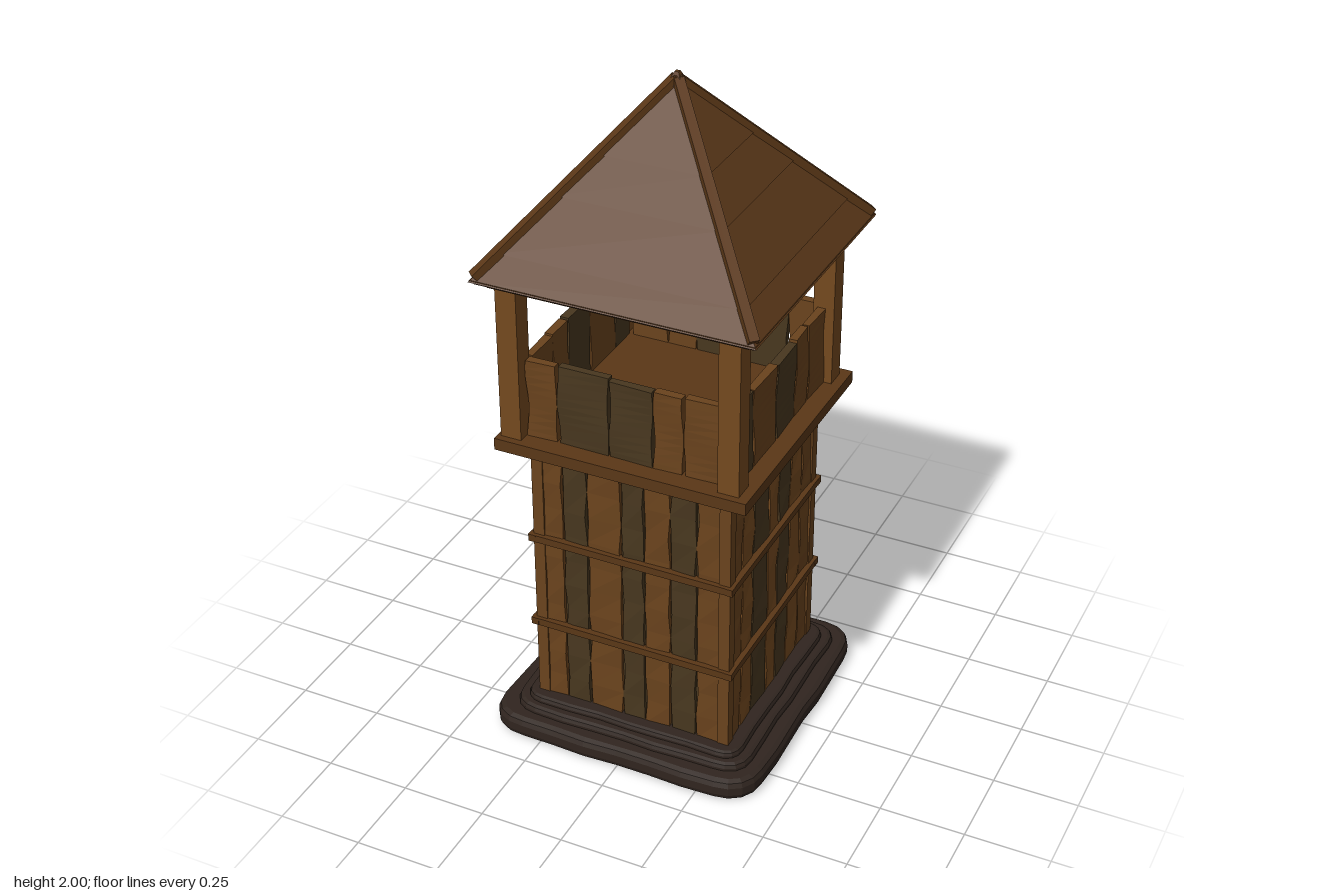
import * as THREE from 'three';

const mat = (color) => new THREE.MeshStandardMaterial({ color, flatShading: true });
const wood = mat(0x6a431d), pale = mat(0x74491f), dark = mat(0x48371f);
const beamWood = mat(0x5a3717), roofWood = mat(0x5b3819), stone = mat(0x30251f);

function add(parent, name, geometry, material, x = 0, y = 0, z = 0) {
  const mesh = new THREE.Mesh(geometry, material);
  mesh.name = name;
  mesh.position.set(x, y, z);
  parent.add(mesh);
  return mesh;
}

// Upright board from x0 to x1 with gently uneven long edges
function board(x0, x1, height, thickness, seed) {
  const w = x1 - x0 - 0.006;
  const g = new THREE.BoxGeometry(w, height, thickness, 1, 10, 1);
  const p = g.attributes.position;
  for (let i = 0; i < p.count; i++) {
    const y = p.getY(i), side = Math.sign(p.getX(i));
    p.setX(i, p.getX(i) + side * 0.003 * Math.sin(y * 31 + seed * 2.3 + side));
    if (p.getZ(i) > 0) p.setZ(i, p.getZ(i) + 0.003 * Math.sin(y * 23 + seed * 1.7 + side));
  }
  g.computeVertexNormals();
  return g;
}

// Square frustum with flat sides facing the axes
function frustum(top, bottom, height) {
  const g = new THREE.CylinderGeometry(top * Math.SQRT2, bottom * Math.SQRT2, height, 4, 1);
  return g.rotateY(Math.PI / 4);
}

// Rounded square slab with a worn, wavy outline
function slab(half, corner, height) {
  const b = Math.min(0.02, height * 0.4), h = half - b, s = new THREE.Shape();
  s.moveTo(-h + corner, -h);
  for (let k = 0; k < 4; k++) {
    const a = k * Math.PI / 2, c = Math.cos(a), n = Math.sin(a);
    const at = (x, y) => [x * c - y * n, x * n + y * c];
    for (let i = 1; i <= 6; i++) s.lineTo(...at(-h + corner + (2 * (h - corner) * i) / 6, -h));
    s.quadraticCurveTo(...at(h, -h), ...at(h, -h + corner));
  }
  const g = new THREE.ExtrudeGeometry(s, {
    depth: height - 2 * b, bevelThickness: b, bevelSize: b, bevelSegments: 2, curveSegments: 4,
  });
  g.rotateX(-Math.PI / 2).translate(0, b, 0);
  const p = g.attributes.position;
  for (let i = 0; i < p.count; i++) {
    const a = Math.atan2(p.getZ(i), p.getX(i));
    const k = 1 + 0.008 * Math.sin(a * 9 + half * 40);
    p.setX(i, p.getX(i) * k);
    p.setZ(i, p.getZ(i) * k);
  }
  g.computeVertexNormals();
  return g;
}

// Square-section beam between two points
function beam(parent, name, a, b, width, material) {
  const mesh = add(parent, name, new THREE.BoxGeometry(width, width, a.distanceTo(b)), material);
  mesh.position.copy(a).add(b).multiplyScalar(0.5);
  mesh.lookAt(b);
  return mesh;
}

export function createModel() {
  const tower = new THREE.Group();
  tower.name = 'watchtower';

  // Stepped foundation
  add(tower, 'foundationLower', slab(0.417, 0.09, 0.065), stone);
  add(tower, 'foundationMiddle', slab(0.37, 0.07, 0.035), stone, 0, 0.052, 0);
  add(tower, 'foundationUpper', slab(0.34, 0.05, 0.03), stone, 0, 0.076, 0);

  // Shaft core, flared collar and platform
  add(tower, 'shaftCore', new THREE.BoxGeometry(0.57, 0.85, 0.57), dark, 0, 0.515, 0);
  add(tower, 'collar', frustum(0.342, 0.3, 0.055), beamWood, 0, 0.938, 0);
  add(tower, 'platform', new THREE.BoxGeometry(0.75, 0.036, 0.75), beamWood, 0, 0.98, 0);

  // Boards on the four faces: alternate faces share a pattern
  const edges = [-0.282, -0.21, -0.135, -0.03, 0.04, 0.12, 0.2, 0.282];
  const parapetEdges = [-0.3, -0.205, -0.05, 0.08, 0.17, 0.29];
  const patterns = [
    { shaft: [1, 3, 5], parapet: [1, 2] },
    { shaft: [2, 4], parapet: [0, 2] },
  ];
  for (let f = 0; f < 4; f++) {
    const face = new THREE.Group();
    face.name = 'face' + (f + 1);
    face.rotation.y = f * Math.PI / 2;
    tower.add(face);
    const pattern = patterns[f % 2];

    for (let i = 0; i < edges.length - 1; i++) {
      const m = pattern.shaft.includes(i) ? dark : i % 2 ? pale : wood;
      add(face, 'shaftBoard', board(edges[i], edges[i + 1], 0.83, 0.03, i + f * 7), m,
        (edges[i] + edges[i + 1]) / 2, 0.51, 0.283);
    }
    add(face, 'cornerPost', new THREE.BoxGeometry(0.034, 0.84, 0.034), wood, 0.286, 0.51, 0.286);

    // Parapet boards with slightly varied tops
    for (let i = 0; i < parapetEdges.length - 1; i++) {
      const h = 0.245 + 0.005 * Math.sin(i * 2.1 + f);
      const m = pattern.parapet.includes(i) ? dark : wood;
      add(face, 'parapetBoard', board(parapetEdges[i], parapetEdges[i + 1], h, 0.024, i + f * 5), m,
        (parapetEdges[i] + parapetEdges[i + 1]) / 2, 0.99 + h / 2, 0.308);
    }

    // Binding rails around the shaft
    for (const y of [0.36, 0.65]) {
      add(face, 'bindingRail', new THREE.BoxGeometry(0.63, 0.022, 0.022), beamWood, 0, y, 0.303);
    }

    // Eaves beam under the roof
    add(face, 'eavesBeam', new THREE.BoxGeometry(0.75, 0.03, 0.05), beamWood, 0, 1.48, 0.35);
  }

  // Roof posts
  for (const x of [-0.333, 0.315]) {
    for (const z of [-0.315, 0.323]) {
      add(tower, 'roofPost', new THREE.BoxGeometry(0.062, 0.49, 0.062), pale, x, 1.235, z);
    }
  }

  // Lapped roof courses
  const halfAt = (y) => 0.405 * (1.985 - y) / (1.985 - 1.49);
  const courses = [1.49, 1.56, 1.7, 1.8, 1.985];
  for (let i = 0; i < courses.length - 1; i++) {
    const [y0, y1] = [courses[i], courses[i + 1]];
    add(tower, 'roofCourse', frustum(halfAt(y1) + 0.001, halfAt(y0) + 0.005, y1 - y0), roofWood,
      0, (y0 + y1) / 2, 0);
  }
  add(tower, 'roofEdge', frustum(0.408, 0.398, 0.014), roofWood, 0, 1.488, 0);

  // Hip beams and the peak
  for (const sx of [-1, 1]) {
    for (const sz of [-1, 1]) {
      beam(tower, 'hipBeam', new THREE.Vector3(sx * 0.398, 1.502, sz * 0.398),
        new THREE.Vector3(0, 1.981, 0), 0.028, beamWood);
    }
  }
  add(tower, 'roofPeak', frustum(0.006, 0.022, 0.035), beamWood, 0, 1.9825, 0);

  return tower;
}
